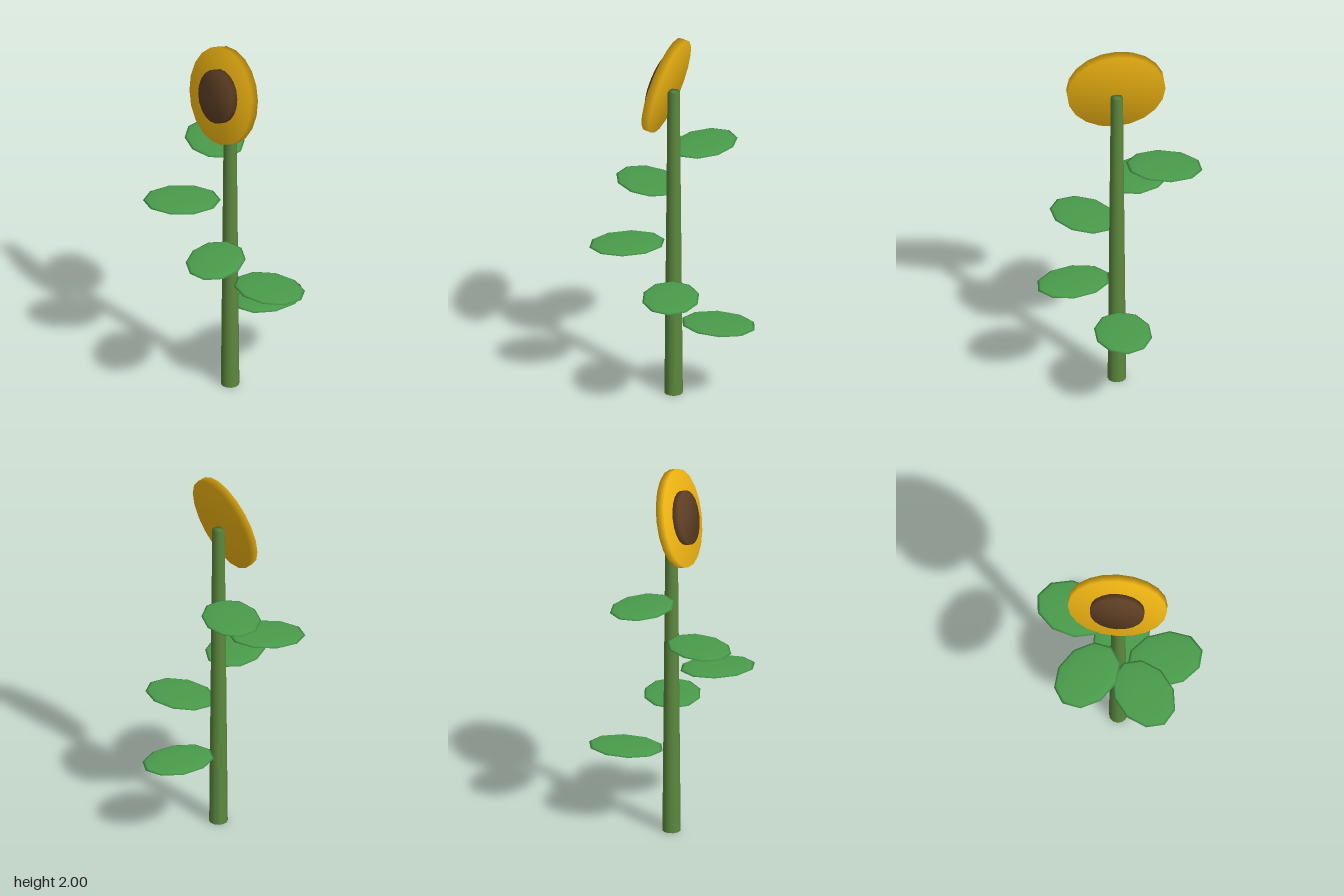
import * as THREE from 'three';
import { mergeVertices } from 'three/addons/utils/BufferGeometryUtils.js';

const mat = (color) => new THREE.MeshStandardMaterial({ color });

// Cylinder whose normals are blended across the rim, for a soft edge
function softCylinder(rTop, rBottom, height, sides) {
  const g = new THREE.CylinderGeometry(rTop, rBottom, height, sides);
  g.deleteAttribute('normal');
  g.deleteAttribute('uv');
  const merged = mergeVertices(g);
  merged.computeVertexNormals();
  return merged;
}

export function createModel() {
  const model = new THREE.Group();
  model.name = 'flower';
  const plant = new THREE.Group();
  plant.name = 'plant';
  plant.position.set(-0.015, 0, 0.027);
  model.add(plant);

  const add = (parent, geometry, material, name) => {
    const mesh = new THREE.Mesh(geometry, material);
    mesh.name = name;
    parent.add(mesh);
    return mesh;
  };

  // Tapered stem
  const stemHeight = 1.72;
  const stem = add(plant, softCylinder(0.032, 0.048, stemHeight, 12), mat(0x5d8a3f), 'stem');
  stem.position.y = stemHeight / 2;

  // Five flattened oval leaves, spiralling up the stem a fifth of a turn apart
  const leafGeometry = new THREE.SphereGeometry(1, 10, 8);
  leafGeometry.rotateY(Math.PI / 2); // a corner points along the leaf
  leafGeometry.scale(0.15, 0.014, 0.2);
  leafGeometry.translate(0, 0, -0.248);
  const leafMaterial = mat(0x4a9c4c);
  for (let i = 0; i < 5; i++) {
    const leaf = add(plant, leafGeometry, leafMaterial, `leaf${i + 1}`);
    leaf.position.y = 0.433 + i * 0.224;
    leaf.rotation.y = (-i * Math.PI * 2) / 5;
  }

  // Flower head, leaning back so that it looks slightly upward
  const head = new THREE.Group();
  head.name = 'flowerHead';
  head.position.set(0, 1.747, 0.041);
  head.rotation.x = Math.PI / 2 - 0.23;
  plant.add(head);
  add(head, softCylinder(0.255, 0.255, 0.044, 20), mat(0xf5b914), 'petalDisc');
  const seeds = add(head, softCylinder(0.14, 0.14, 0.05, 20), mat(0x5f3f24), 'seedDisc');
  seeds.position.y = 0.031;

  return model;
}
